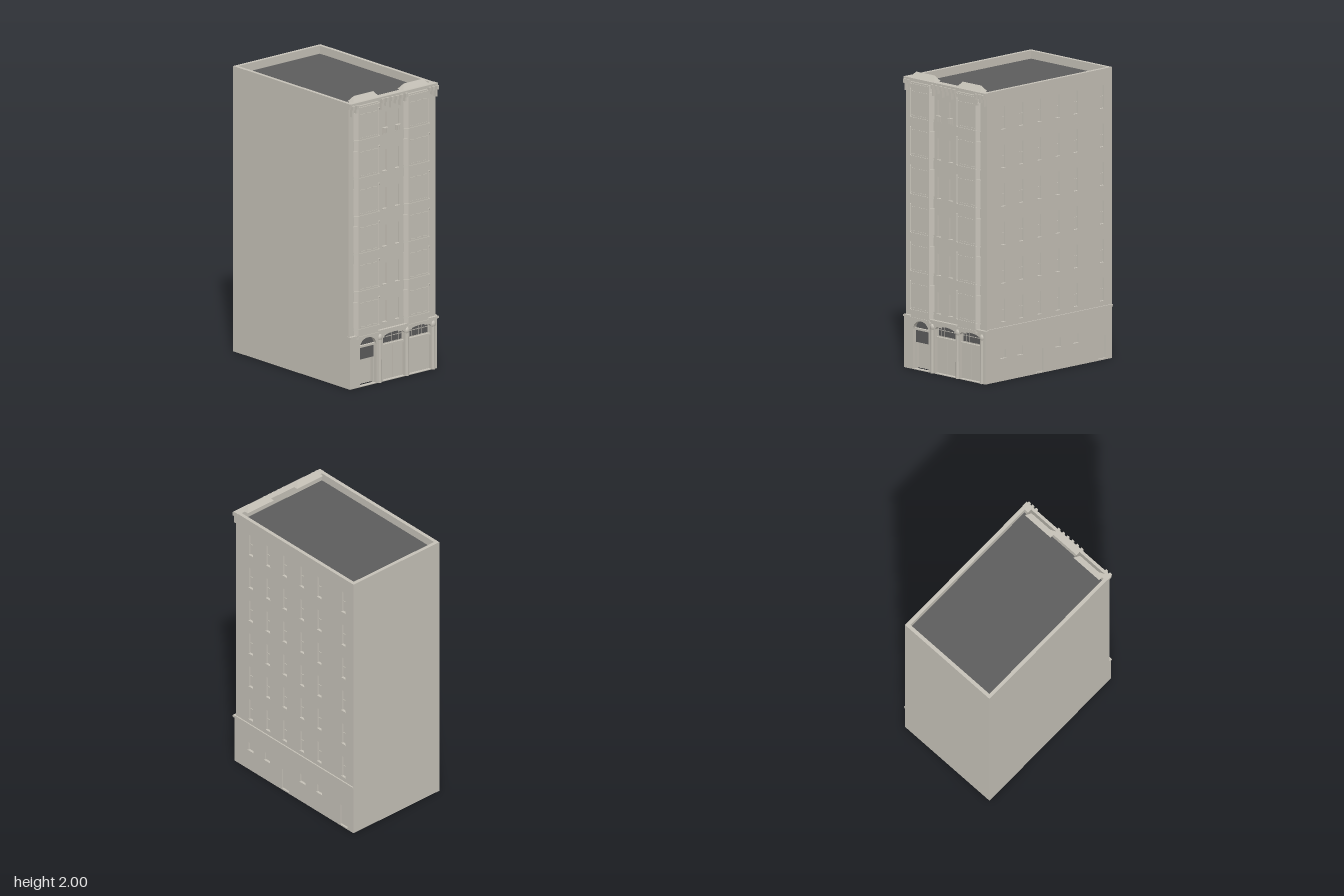
import * as THREE from 'three';

const stone = new THREE.MeshStandardMaterial({ color: 0xc5c1b7 });
stone.name = 'stone';
const dark = new THREE.MeshStandardMaterial({ color: 0x5c5c5c });
dark.name = 'darkGrey';

const FLOORS = [0.4, 0.66, 0.92, 1.18, 1.44, 1.7];
const TOP = 1.965;

export function createModel() {
  const root = new THREE.Group();
  root.name = 'building';

  function add(name, geo, mat = stone, parent = root) {
    const m = new THREE.Mesh(geo, mat);
    m.name = name;
    parent.add(m);
    return m;
  }
  // box given by its limits
  function box(name, x0, x1, y0, y1, z0, z1, mat = stone, parent = root) {
    const g = new THREE.BoxGeometry(x1 - x0, y1 - y0, z1 - z0);
    g.translate((x0 + x1) / 2, (y0 + y1) / 2, (z0 + z1) / 2);
    return add(name, g, mat, parent);
  }
  function rect(Type, x0, x1, y0, y1) {
    const s = new Type();
    s.moveTo(x0, y0);
    s.lineTo(x1, y0);
    s.lineTo(x1, y1);
    s.lineTo(x0, y1);
    s.closePath();
    return s;
  }
  // opening with a round or flattened arch
  function arch(Type, x0, x1, y0, spring, top) {
    const s = new Type();
    s.moveTo(x0, y0);
    s.lineTo(x1, y0);
    s.lineTo(x1, spring);
    s.absellipse((x0 + x1) / 2, spring, (x1 - x0) / 2, top - spring, 0, Math.PI, false, 0);
    s.closePath();
    return s;
  }
  function wall(x0, x1, y0, y1, holes, depth) {
    const s = rect(THREE.Shape, x0, x1, y0, y1);
    s.holes = holes;
    return new THREE.ExtrudeGeometry(s, { depth, bevelEnabled: false, curveSegments: 10 });
  }

  // plain walls and roof
  box('leftWall', -0.385, -0.36, 0, TOP, -0.6, 0.56);
  box('backWall', -0.36, 0.352, 0, TOP, -0.6, -0.575);
  box('roof', -0.36, 0.352, 1.89, 1.91, -0.575, 0.53, dark);

  // right wall, laid out along u = -z
  const columns = [0.41, 0.24, 0.075, -0.095, -0.265, -0.505];
  const holes = [];
  const right = new THREE.Group();
  right.name = 'rightSide';
  root.add(right);
  function sideOpening(name, z, w, y0, y1, sill) {
    holes.push(rect(THREE.Path, -z - w / 2, -z + w / 2, y0, y1));
    box(name, 0.354, 0.365, y0, y1, z - w / 2, z + w / 2, stone, right);
    if (sill) box('sill', 0.37, 0.382, y0 - 0.008, y0, z - w / 2 - 0.003, z + w / 2 + 0.003, stone, right);
  }
  for (const y of FLOORS) for (const z of columns) {
    sideOpening('sideWindow', z, 0.036, y, y + 0.155, true);
    box('sashBar', 0.36, 0.369, y + 0.074, y + 0.081, z - 0.018, z + 0.018, stone, right);
  }
  for (const z of [0.41, 0.25, -0.1, -0.265]) sideOpening('lowWindow', z, 0.05, 0.153, 0.213, true);
  for (const z of [0.072, -0.505]) sideOpening('sideDoor', z, 0.07, 0.01, 0.165, false);
  const sideGeo = wall(-0.56, 0.6, 0, TOP, holes, 0.025);
  sideGeo.rotateY(Math.PI / 2);
  sideGeo.translate(0.352, 0, 0);
  add('rightWall', sideGeo, stone, right);
  box('sideBand', 0.37, 0.382, 0.345, 0.365, -0.6, 0.56, stone, right);
  box('sideBandLip', 0.37, 0.386, 0.357, 0.365, -0.6, 0.56, stone, right);

  // upper front wall with the pair of centre windows on each floor
  const centre = [-0.07, 0.04];
  const upperHoles = [];
  for (const y of FLOORS) for (const x of centre) {
    upperHoles.push(rect(THREE.Path, x - 0.018, x + 0.018, y + 0.005, y + 0.15));
    box('centrePane', x - 0.018, x + 0.018, y + 0.005, y + 0.15, 0.532, 0.546);
    box('centreSill', x - 0.021, x + 0.021, y - 0.003, y + 0.005, 0.555, 0.566);
  }
  add('upperFront', wall(-0.36, 0.352, 0.335, TOP, upperHoles, 0.03)).position.z = 0.53;
  // small balcony rails on the top floor
  for (const x of centre) {
    box('railTop', x - 0.02, x + 0.02, 1.738, 1.744, 0.558, 0.576);
    for (const d of [-0.014, 0, 0.014]) box('baluster', x + d - 0.004, x + d + 0.004, 1.705, 1.738, 0.56, 0.572);
  }

  // ground floor front
  const garages = [[-0.095, 0.095], [0.135, 0.325]];
  const openings = [arch(THREE.Path, -0.3, -0.155, 0.005, 0.27, 0.332)];
  for (const [a, b] of garages) openings.push(arch(THREE.Path, a, b, 0.005, 0.3, 0.328));
  add('groundFront', wall(-0.385, 0.377, 0, 0.345, openings, 0.03)).position.z = 0.545;

  // arched entry with dark glass
  box('entryDoor', -0.3, -0.155, 0.005, 0.18, 0.52, 0.53);
  for (const x of [-0.298, -0.165]) box('entryJamb', x, x + 0.008, 0.005, 0.18, 0.53, 0.555);
  add('entryGlass', new THREE.ExtrudeGeometry(arch(THREE.Shape, -0.3, -0.155, 0.18, 0.27, 0.332),
    { depth: 0.008, bevelEnabled: false, curveSegments: 10 }), dark).position.z = 0.54;
  box('entryTransom', -0.3, -0.155, 0.266, 0.279, 0.545, 0.565);

  // garage doors and their fanlights
  for (const [a, b] of garages) {
    const c = (a + b) / 2;
    box('garagePanel', a, b, 0.005, 0.33, 0.542, 0.55);
    for (const s of [-1, 1]) {
      box('garageLeaf', c + s * 0.046 - 0.044, c + s * 0.046 + 0.044, 0.008, 0.235, 0.55, 0.556);
    }
    box('garageLintel', a, b, 0.237, 0.25, 0.55, 0.566);
    for (let i = 0; i < 6; i++) {
      const x = c + (i - 2.5) * 0.028;
      const t = 0.322 - 0.0022 * (i - 2.5) ** 2;
      box('fanlightPane', x - 0.011, x + 0.011, 0.258, t, 0.55, 0.554, dark);
      box('paneBar', x - 0.011, x + 0.011, 0.296, 0.3, 0.553, 0.557);
    }
  }
  // half-round piers between the openings
  for (const x of [-0.122, 0.115, 0.343]) {
    const shaft = add('pier', new THREE.CylinderGeometry(0.012, 0.014, 0.3, 10));
    shaft.position.set(x, 0.15, 0.572);
    const cap = add('pierCap', new THREE.SphereGeometry(0.018, 10, 6));
    cap.scale.set(1, 1.4, 0.8);
    cap.position.set(x, 0.31, 0.572);
  }
  box('frontBand', -0.387, 0.385, 0.345, 0.36, 0.54, 0.582);

  // projecting bays with angled sides
  function bayPlan(grow, y0, y1) {
    const s = new THREE.Shape();
    s.moveTo(-0.115 - grow, -0.55);
    s.lineTo(-0.086 - grow, -0.582 - grow);
    s.lineTo(0.086 + grow, -0.582 - grow);
    s.lineTo(0.115 + grow, -0.55);
    s.closePath();
    const g = new THREE.ExtrudeGeometry(s, { depth: y1 - y0, bevelEnabled: false });
    g.rotateX(-Math.PI / 2);
    g.translate(0, y0, 0);
    return g;
  }
  for (const cx of [-0.23, 0.207]) {
    const bay = new THREE.Group();
    bay.name = 'bay';
    bay.position.x = cx;
    root.add(bay);
    add('bayBody', bayPlan(0, 0.335, 1.94), stone, bay);
    add('bayFoot', bayPlan(0.004, 0.335, 0.352), stone, bay);
    add('bayHead', bayPlan(0.005, 1.915, 1.93), stone, bay);
    for (const y of FLOORS) {
      add('bayBand', bayPlan(0.005, y - 0.006, y + 0.004), stone, bay);
      for (const x of [-0.055, 0, 0.055]) {
        box('baySill', x - 0.02, x + 0.02, y + 0.012, y + 0.018, 0.58, 0.586, stone, bay);
        box('bayLintel', x - 0.02, x + 0.02, y + 0.175, y + 0.181, 0.58, 0.586, stone, bay);
      }
      // raised jambs and lintels on the angled sides
      for (const s of [-1, 1]) {
        const frame = new THREE.Group();
        frame.name = 'baySideFrame';
        frame.position.set(s * 0.1005, y, 0.566);
        frame.rotation.y = s * Math.atan2(0.032, 0.029);
        bay.add(frame);
        for (const d of [-0.012, 0.012]) box('jamb', d - 0.003, d + 0.003, 0.01, 0.19, -0.002, 0.005, stone, frame);
        box('sideLintel', -0.015, 0.015, 0.184, 0.192, -0.002, 0.006, stone, frame);
      }
    }

    // hipped coping above the bay
    const g = new THREE.BoxGeometry(0.23, 0.037, 0.058);
    const p = g.attributes.position;
    for (let i = 0; i < p.count; i++) if (p.getY(i) > 0) {
      p.setX(i, Math.sign(p.getX(i)) * 0.085);
      p.setZ(i, Math.sign(p.getZ(i)) * 0.001);
    }
    const hip = g.toNonIndexed();
    hip.computeVertexNormals();
    add('hippedCoping', hip, stone, bay).position.set(0, 1.9815, 0.532);
  }

  // cornice and brackets
  box('corniceLower', -0.385, 0.377, 1.925, 1.945, 0.555, 0.57);
  box('corniceUpper', -0.387, 0.38, 1.945, TOP, 0.54, 0.58);
  [-0.367, -0.333, -0.11, -0.07, -0.027, 0.015, 0.055, 0.095, 0.3, 0.333, 0.365].forEach((x, i) => {
    const low = i % 2 ? 1.895 : 1.875;
    box('bracketHead', x - 0.009, x + 0.009, 1.925, 1.953, 0.56, 0.595);
    box('bracketDrop', x - 0.006, x + 0.006, low, 1.925, 0.555, 0.583);
  });
  return root;
}
